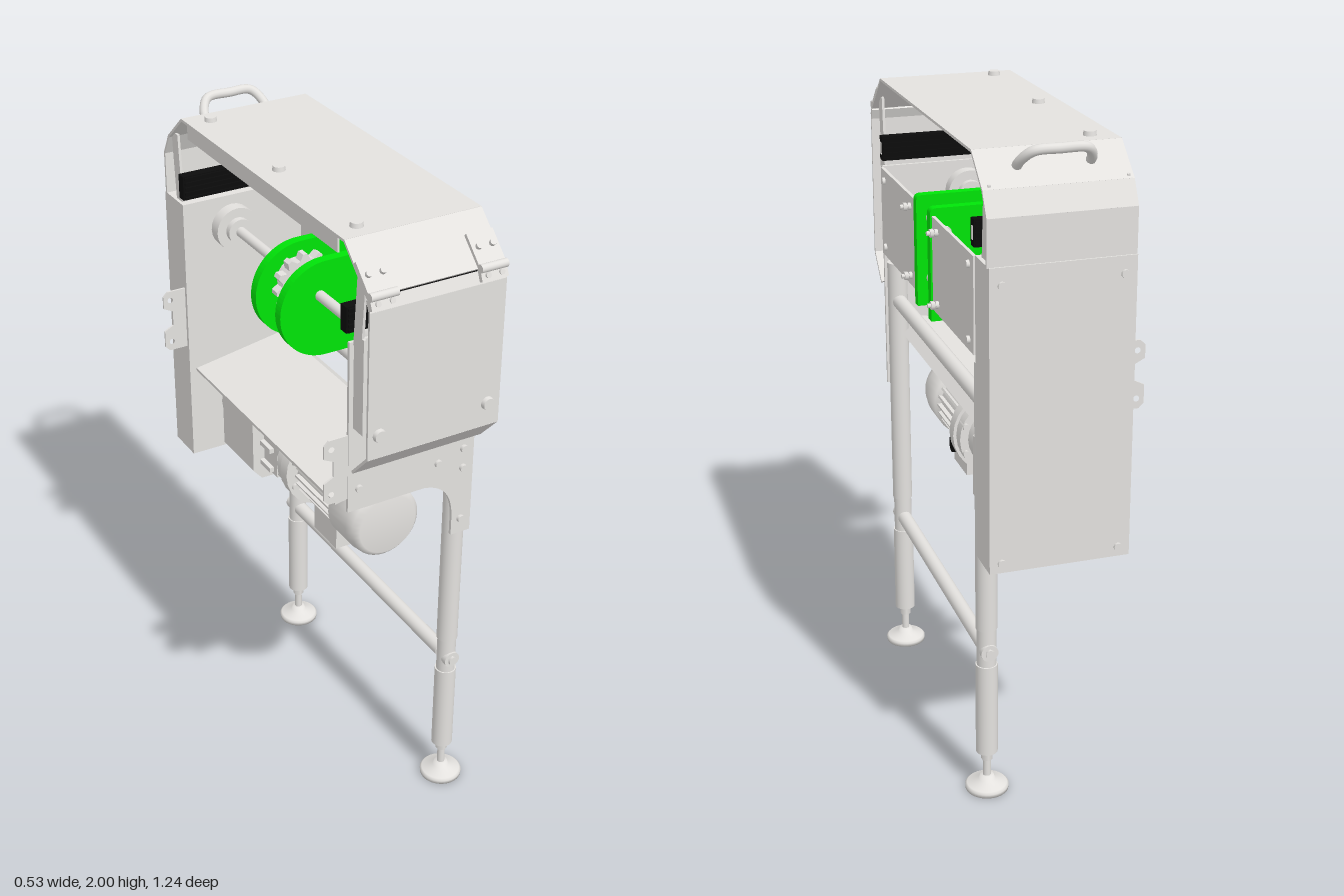
import * as THREE from 'three';

export function createModel() {
  const root = new THREE.Group();
  const mat = (name, color) => {
    const m = new THREE.MeshStandardMaterial({ color });
    m.name = name;
    return m;
  };
  const steel = mat('steel grey', 0xe3e1de);
  const green = mat('guide green', 0x00e408);
  const black = mat('rubber black', 0x0c0c0c);

  const add = (name, geo, m = steel) => {
    const mesh = new THREE.Mesh(geo, m);
    mesh.name = name;
    root.add(mesh);
    return mesh;
  };
  // Box from min and max corners
  const box = (name, a, b, m) => {
    const mesh = add(name, new THREE.BoxGeometry(b[0] - a[0], b[1] - a[1], b[2] - a[2]), m);
    mesh.position.set((a[0] + b[0]) / 2, (a[1] + b[1]) / 2, (a[2] + b[2]) / 2);
    return mesh;
  };
  // Round bar between two points
  const rod = (name, a, b, r, m, r2 = r, sides = 24) => {
    const p = new THREE.Vector3(...a), q = new THREE.Vector3(...b), d = q.clone().sub(p);
    const mesh = add(name, new THREE.CylinderGeometry(r2, r, d.length(), sides), m);
    mesh.position.copy(p).add(q).multiplyScalar(0.5);
    mesh.quaternion.setFromUnitVectors(new THREE.Vector3(0, 1, 0), d.normalize());
    return mesh;
  };
  // Folded sheet: a [z, y] profile carried across x
  const sheet = (name, pts, x0, x1, t = 0.008) => {
    for (let i = 0; i + 1 < pts.length; i++) {
      const [z0, y0] = pts[i], [z1, y1] = pts[i + 1];
      const mesh = add(name, new THREE.BoxGeometry(x1 - x0, t, Math.hypot(z1 - z0, y1 - y0) + t * 0.3));
      mesh.position.set((x0 + x1) / 2, (y0 + y1) / 2, (z0 + z1) / 2);
      mesh.rotation.x = -Math.atan2(y1 - y0, z1 - z0);
    }
  };
  // Flat plate in the x-y plane
  const plate = (name, shape, z, depth, m) => {
    const mesh = add(name, new THREE.ExtrudeGeometry(shape, { depth, bevelEnabled: false, curveSegments: 20 }), m);
    mesh.position.z = z;
    return mesh;
  };
  const poly = pts => new THREE.Shape(pts.map(p => new THREE.Vector2(...p)));
  const lathe = (name, pts) => add(name, new THREE.LatheGeometry(pts.map(p => new THREE.Vector2(...p)), 36));

  // Legs with levelling feet
  for (const z of [0.475, -0.47]) {
    lathe('foot', [[0, 0], [0.065, 0], [0.066, 0.012], [0.06, 0.018], [0.025, 0.03], [0.02, 0.045], [0, 0.045]])
      .position.set(0.19, 0, z);
    rod('spindle', [0.19, 0.03, z], [0.19, 0.14, z], 0.012);
    rod('spindleNut', [0.19, 0.1, z], [0.19, 0.13, z], 0.018, steel, 0.018, 6);
    rod('lowerLeg', [0.19, 0.13, z], [0.19, 0.43, z], 0.033);
    rod('legSleeve', [0.19, 0.43, z], [0.19, 0.55, z], 0.029);
    rod('upperLeg', [0.19, 0.55, z], [0.19, 1.38, z], 0.032);
    const s = Math.sign(z);
    rod('legBolt', [0.19, 0.48, z], [0.19, 0.48, z + s * 0.034], 0.026);
    rod('legBoltHead', [0.19, 0.48, z], [0.19, 0.48, z + s * 0.042], 0.015, steel, 0.015, 6);
  }
  for (const y of [0.48, 1.253]) rod('crossBar', [0.19, y, 0.45], [0.19, y, -0.45], 0.023);

  // Drip tray: floor rising to a ridge, then a lip falling outwards
  const tray = plate('dripTray', poly([[-0.19, 1.14], [0.12, 1.193], [0.178, 1.14], [0.184, 1.146],
    [0.122, 1.202], [-0.19, 1.149]]), -0.44, 0.88);
  tray.scale.z = 1.0;

  // Front end plate with a strip running down the leg
  const end = poly([[-0.19, 1.69], [-0.19, 1.155], [0.06, 1.155]]);
  end.quadraticCurveTo(0.16, 1.14, 0.16, 1.02);
  end.lineTo(0.16, 0.96);
  end.lineTo(0.225, 0.96);
  end.lineTo(0.225, 1.69);
  plate('frontEndPlate', end, 0.5, 0.01);
  for (const [x, y] of [[-0.155, 1.225], [0.105, 1.225], [0.19, 1.25], [0.19, 1.185], [0.19, 1.01]])
    rod('plateBolt', [x, y, 0.505], [x, y, 0.52], 0.012, steel, 0.012, 12);

  // Notched mounting brackets on the left side
  for (const z of [0.502, -0.508]) {
    const b = poly([[-0.18, 1.2], [-0.25, 1.2], [-0.265, 1.215], [-0.265, 1.27], [-0.235, 1.285],
      [-0.235, 1.335], [-0.265, 1.35], [-0.265, 1.39], [-0.25, 1.405], [-0.18, 1.405]]);
    for (const y of [1.23, 1.375]) {
      const hole = new THREE.Path();
      hole.absarc(-0.242, y, 0.009, 0, Math.PI * 2, true);
      b.holes.push(hole);
    }
    plate('mountBracket', b, z, 0.006);
  }

  // Drive cabinet at the back
  box('driveCabinet', [-0.19, 0.8, -0.614], [0.225, 1.69, -0.49]);
  for (const x of [-0.155, 0.19]) for (const y of [0.83, 1.64])
    rod('cabinetBolt', [x, y, -0.605], [x, y, -0.622], 0.012, steel, 0.012, 12);

  // Conveyor side panels and slotted floor rails
  for (const s of [1, -1]) {
    const z0 = s > 0 ? 0.1 : -0.49, z1 = s > 0 ? 0.495 : -0.09;
    box('sidePanel', [0.22, 1.408, z0], [0.23, 1.688, z1]);
    for (const z of [0.145, 0.45]) for (const y of [1.44, 1.655]) {
      rod('panelBolt', [0.22, y, s * z], [0.239, y, s * z], 0.012, steel, 0.011, 12);
      if (z < 0.2) {
        rod('panelStud', [0.235, y, s * z], [0.262, y, s * z], 0.007, steel, 0.007, 8);
        rod('panelNut', [0.242, y, s * z], [0.253, y, s * z], 0.013, steel, 0.013, 6);
      }
    }
    const rail = poly([[0.06, z0], [0.22, z0], [0.22, z1], [0.06, z1]]);
    for (let i = 0; i < 3; i++) {
      const c = z0 + (z1 - z0) * (i + 0.5) / 3, f = i % 2 ? -1 : 1;
      const w = 0.035 + 0.018 * f, v = 0.035 - 0.018 * f;
      rail.holes.push(new THREE.Path([[0.08, c - w], [0.08, c + w], [0.2, c + v], [0.2, c - v]]
        .map(p => new THREE.Vector2(...p))));
    }
    const r = plate('floorRail', rail, 0, 0.008);
    r.rotation.x = Math.PI / 2;
    r.position.y = 1.416;
  }

  // Green guide plates, rounded around the shaft, with thicker rims
  const guide = () => {
    const g = new THREE.Shape();
    g.moveTo(0.235, 1.37);
    g.lineTo(0.235, 1.69);
    g.quadraticCurveTo(0.235, 1.71, 0.215, 1.71);
    g.lineTo(-0.02, 1.71);
    g.absarc(-0.02, 1.56, 0.15, Math.PI / 2, Math.PI * 1.5, false);
    g.lineTo(0.14, 1.41);
    g.lineTo(0.16, 1.37);
    return g;
  };
  for (const z of [0.06, -0.088]) plate('guidePlate', guide(), z, 0.03, green);

  // Main shaft, end bearings, toothed wheel and tie rods
  rod('mainShaft', [-0.04, 1.605, 0.5], [-0.04, 1.605, -0.5], 0.016);
  for (const s of [1, -1]) {
    rod('bearing', [-0.04, 1.605, s * 0.42], [-0.04, 1.605, s * 0.46], 0.07);
    rod('bearingHub', [-0.04, 1.605, s * 0.4], [-0.04, 1.605, s * 0.5], 0.04);
  }
  rod('drum', [-0.04, 1.605, -0.06], [-0.04, 1.605, 0.06], 0.06);
  const teeth = [];
  for (let i = 0; i < 48; i++) {
    const a = i / 48 * Math.PI * 2, r = i % 4 < 2 ? 0.1 : 0.082;
    teeth.push([-0.04 + r * Math.cos(a), 1.605 + r * Math.sin(a)]);
  }
  plate('toothedWheel', poly(teeth), -0.015, 0.03);
  for (const [x, y, r] of [[0.19, 1.64, 0.016], [0.19, 1.455, 0.017], [0.1, 1.6, 0.012]])
    rod('tieRod', [x, y, -0.1], [x, y, 0.1], r);

  // Ribbed black seals across both ends, with a grey core showing at the ends
  for (const z of [0.485, -0.485]) {
    box('sealCore', [-0.195, 1.714, z - 0.015], [0.23, 1.79, z + 0.015], black);
    for (let i = 0; i < 5; i++)
      box('sealRib', [-0.19, 1.716 + i * 0.0155, z - 0.02], [0.226, 1.724 + i * 0.0155, z + 0.02], black);
    box('sealInsert', [0.228, 1.733, z - 0.006], [0.232, 1.771, z + 0.006]);
    rod('sealStud', [0.19, 1.75, z], [0.19, 1.75, z + Math.sign(z) * 0.11], 0.012);
  }

  // Hood, front cover and rear skirt
  sheet('hood', [[0.592, 1.858], [0.475, 1.968], [-0.475, 1.968], [-0.57, 1.885], [-0.605, 1.82], [-0.605, 1.69]], -0.19, 0.23);
  sheet('frontCover', [[0.592, 1.85], [0.605, 1.82], [0.605, 1.38], [0.53, 1.3]], -0.19, 0.23);
  box('hoodRib', [-0.188, 1.92, -0.44], [-0.182, 1.968, 0.44]);
  for (const z of [-0.42, 0, 0.42]) rod('hoodButton', [-0.12, 1.965, z], [-0.12, 1.985, z], 0.02, steel, 0.017);
  for (const x of [-0.155, 0.19]) rod('coverKnob', [x, 1.45, 0.6], [x, 1.45, 0.622], 0.021, steel, 0.018);

  // Side brackets carrying the covers
  for (const x of [-0.18, 0.205]) {
    box('coverBracket', [x, 1.43, 0.515], [x + 0.008, 1.72, 0.565]);
    for (const s of [1, -1]) {
      const arm = box('hoodArm', [-0.004, -0.11, -0.02], [0.004, 0.11, 0.02]);
      arm.position.set(x + 0.004, 1.79, s * 0.54);
      arm.rotation.x = s * 0.08;
    }
  }

  // Hinges over the front fold
  for (const x of [-0.19, 0.145]) {
    sheet('hingeLeaf', [[0.53, 1.928], [0.598, 1.862], [0.612, 1.83]], x, x + 0.083, 0.014);
    rod('hingePin', [x, 1.864, 0.606], [x + 0.083, 1.864, 0.606], 0.012);
    for (const dx of [0.02, 0.063]) {
      rod('hingeScrew', [x + dx, 1.9, 0.558], [x + dx, 1.913, 0.57], 0.009, steel, 0.009, 10);
      rod('hingeScrew', [x + dx, 1.842, 0.6], [x + dx, 1.847, 0.619], 0.008, steel, 0.008, 10);
    }
  }

  // Gas spring under the hood
  rod('springRod', [-0.165, 1.94, 0.37], [-0.165, 1.93, 0], 0.006);
  rod('springBody', [-0.165, 1.937, 0.3], [-0.165, 1.93, 0.06], 0.013, black);
  rod('springEye', [-0.18, 1.94, 0.36], [-0.15, 1.94, 0.36], 0.014);

  // Handle on the rear slope
  const h = [[-0.085, 1.92, -0.51], [-0.082, 1.95, -0.542], [-0.055, 1.98, -0.572], [0.02, 1.983, -0.575],
    [0.09, 1.98, -0.572], [0.117, 1.95, -0.542], [0.12, 1.92, -0.51]].map(p => new THREE.Vector3(...p));
  add('handle', new THREE.TubeGeometry(new THREE.CatmullRomCurve3(h), 40, 0.014, 12));

  // Motor: fan cover, finned body and flange
  const mx = 0.02, my = 0.97;
  const fan = lathe('fanCover', [[0, 0.24], [0.117, 0.24], [0.117, 0.34], [0.112, 0.372], [0.095, 0.388], [0, 0.388]]);
  fan.rotation.x = Math.PI / 2;
  fan.position.set(mx, my, 0);
  rod('motorBody', [mx, my, 0.24], [mx, my, 0.01], 0.096);
  for (let i = 0; i < 24; i++) {
    const a = i / 24 * Math.PI * 2;
    const fin = add('coolingFin', new THREE.BoxGeometry(0.024, 0.007, 0.21));
    fin.position.set(mx + 0.098 * Math.cos(a), my + 0.098 * Math.sin(a), 0.13);
    fin.rotation.z = a;
  }
  rod('motorFlange', [mx, my, 0.015], [mx, my, -0.025], 0.135);
  rod('motorFlangeRear', [mx, my, -0.025], [mx, my, -0.065], 0.125);
  for (let i = 0; i < 8; i++) {
    const a = (i + 0.5) / 8 * Math.PI * 2, x = mx + 0.115 * Math.cos(a), y = my + 0.115 * Math.sin(a);
    rod('flangeBolt', [x, y, 0.025], [x, y, -0.075], 0.011, steel, 0.011, 6);
  }

  // Gearbox: neck, ribbed front and chamfered housing
  rod('gearNeck', [mx, my, -0.06], [mx, my, -0.14], 0.1, steel, 0.09);
  box('gearFrontHousing', [mx - 0.09, my - 0.1, -0.22], [mx + 0.09, my + 0.085, -0.13]);
  for (const y of [0.89, 0.96, 1.03]) box('gearRib', [mx - 0.105, y - 0.008, -0.22], [mx + 0.105, y + 0.008, -0.15]);
  const housing = poly([[-0.08, 0.825], [0.12, 0.825], [0.15, 0.86], [0.15, 1.05], [0.11, 1.085],
    [-0.07, 1.085], [-0.11, 1.05], [-0.11, 0.86]]);
  plate('gearHousing', housing, -0.42, 0.205);
  rod('gearOutput', [mx, my, -0.41], [mx, my, -0.495], 0.1);

  // Terminal box with cable glands
  box('terminalBox', [-0.045, 0.79, 0.065], [0.085, 0.885, 0.2]);
  rod('cableGland', [0.08, 0.858, 0.165], [0.105, 0.858, 0.165], 0.026, black);
  rod('blankGland', [0.08, 0.858, 0.1], [0.098, 0.858, 0.1], 0.02);

  return root;
}
